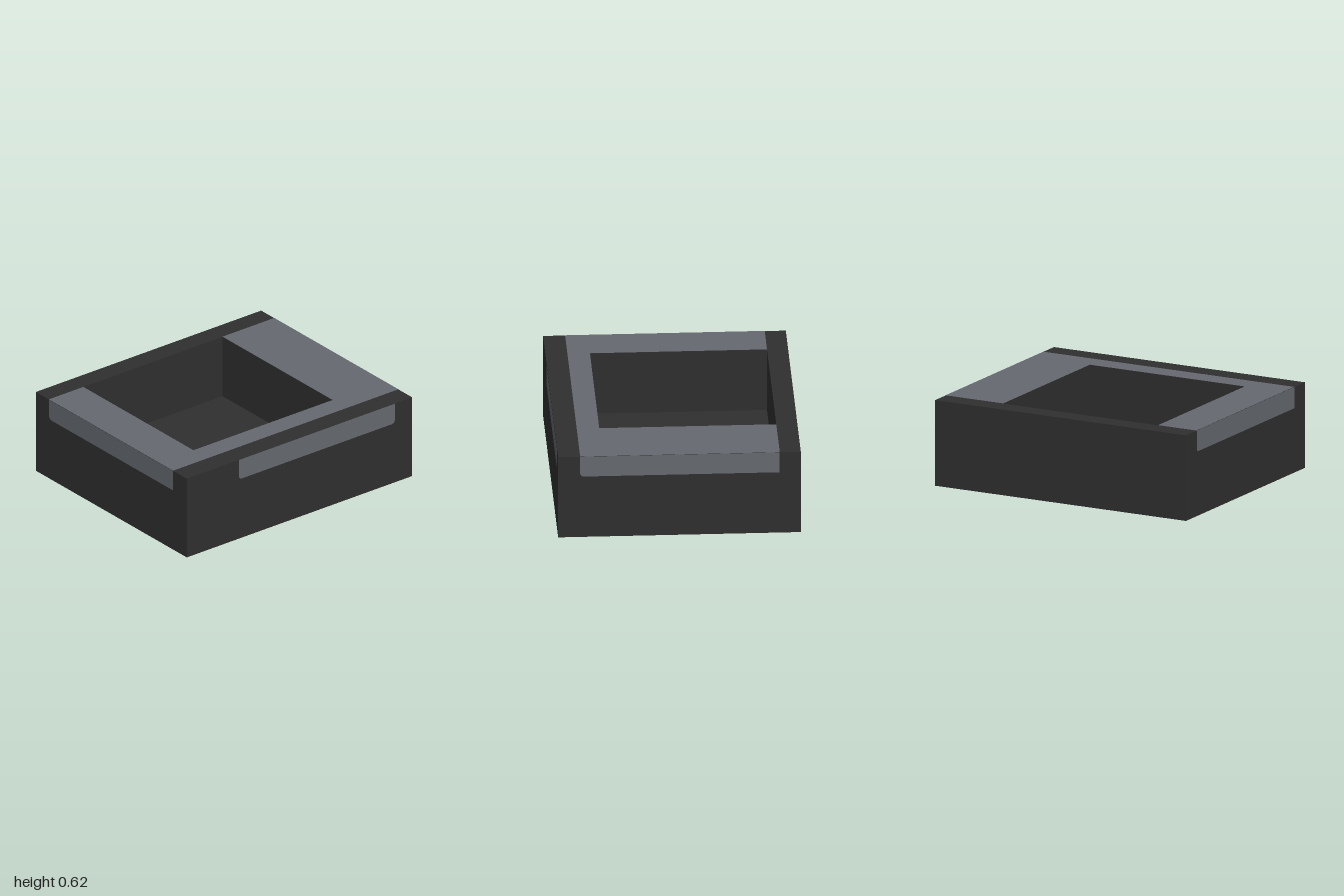
import * as THREE from 'three';

const W = 0.845, L = 1, H = 0.615, FLOOR = 0.152;
const POCKET = { x0: -0.698, x1: 0.535, z0: -0.54, z1: 0.695 };
const LIFT = 0.0015;

// Closed outline from [x, y] pairs
const outline = (pts) => new THREE.Shape(pts.map(([x, y]) => new THREE.Vector2(x, y)));

// Strip hanging from the rim, with optional rounded lower corners
function stripShape(x0, x1, y0, y1, rLeft, rRight) {
  const s = new THREE.Shape();
  s.moveTo(x0, y1);
  s.lineTo(x0, y0 + rLeft);
  s.quadraticCurveTo(x0, y0, x0 + rLeft, y0);
  s.lineTo(x1 - rRight, y0);
  s.quadraticCurveTo(x1, y0, x1, y0 + rRight);
  s.lineTo(x1, y1);
  s.closePath();
  return s;
}

export function createModel() {
  const group = new THREE.Group();
  const dark = new THREE.MeshStandardMaterial({ color: 0x2f2f2f });
  dark.name = 'charcoal';
  const grey = new THREE.MeshStandardMaterial({ color: 0x656a70 });
  grey.name = 'slate grey';

  const add = (name, geometry, material) => {
    const mesh = new THREE.Mesh(geometry, material);
    mesh.name = name;
    group.add(mesh);
    return mesh;
  };

  // Solid base below the pocket
  add('base', new THREE.BoxGeometry(2 * W, FLOOR, 2 * L).translate(0, FLOOR / 2, 0), dark);

  // Walls around the off-centre square pocket
  const { x0, x1, z0, z1 } = POCKET;
  const walls = outline([[-W, -L], [W, -L], [W, L], [-W, L]]);
  walls.holes.push(outline([[x0, -z1], [x0, -z0], [x1, -z0], [x1, -z1]]));
  const wallGeometry = new THREE.ExtrudeGeometry(walls, { depth: H - FLOOR, bevelEnabled: false });
  add('walls', wallGeometry.rotateX(-Math.PI / 2).translate(0, FLOOR, 0), dark);

  // C-shaped inlay on the rim, open toward the right-hand wall
  const edge = 0.692;
  const inlay = outline([
    [x0, -L], [edge, -L], [edge, L], [x0, L],
    [x0, -z0], [x1, -z0], [x1, -z1], [x0, -z1],
  ]);
  add('rimInlay', new THREE.ShapeGeometry(inlay).rotateX(-Math.PI / 2).translate(0, H + LIFT, 0), grey);

  // Inlays folding down over the front, back and left-hand faces
  const low = 0.463, r = 0.03;
  const front = new THREE.ShapeGeometry(stripShape(x0 + 0.003, edge, low, H, r, 0));
  add('frontInlay', front.translate(0, 0, L + LIFT), grey);

  const back = new THREE.ShapeGeometry(stripShape(-edge, -x0 - 0.003, low, H, r, 0));
  add('backInlay', back.rotateY(Math.PI).translate(0, 0, -L - LIFT), grey);

  const side = new THREE.ShapeGeometry(stripShape(-0.538, 0.845, low, H, r, r));
  add('sideInlay', side.rotateY(Math.PI / 2).translate(W + LIFT, 0, 0), grey);

  return group;
}
